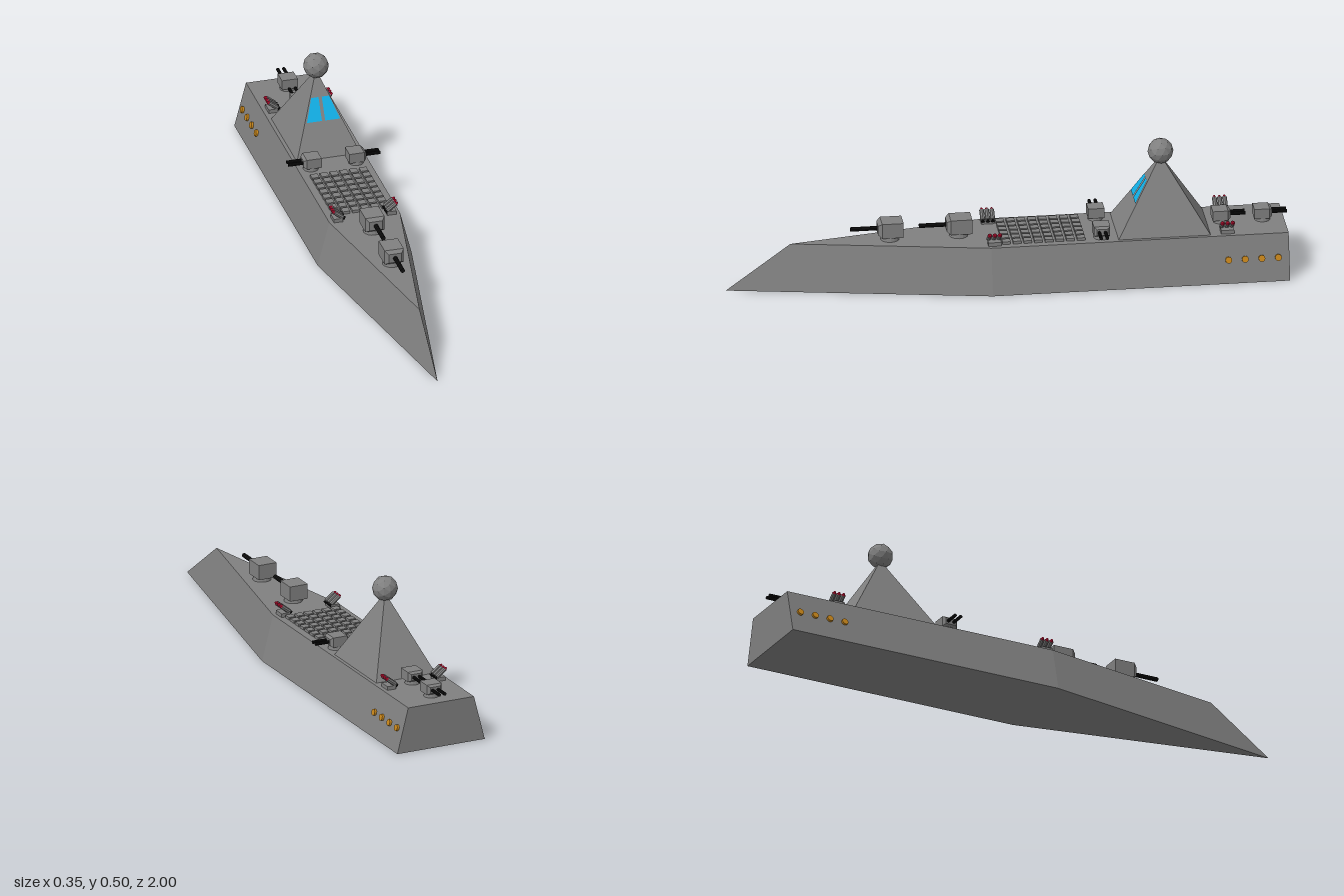
import * as THREE from 'three';

const mat = (name, color) => {
  const m = new THREE.MeshStandardMaterial({ color });
  m.name = name;
  m.flatShading = true;
  return m;
};

const DECK = 0.167;

// Closed solid through rings of [x, z] corners at rising heights (anticlockwise from above)
function loft(rings) {
  const pos = [];
  const pt = (r, i) => [r.pts[i % r.pts.length][0], r.y, r.pts[i % r.pts.length][1]];
  const n = rings[0].pts.length;
  for (let k = 0; k < rings.length - 1; k++) {
    const a = rings[k], b = rings[k + 1];
    for (let i = 0; i < n; i++) {
      pos.push(...pt(a, i), ...pt(a, i + 1), ...pt(b, i + 1));
      pos.push(...pt(a, i), ...pt(b, i + 1), ...pt(b, i));
    }
  }
  const lo = rings[0], hi = rings[rings.length - 1];
  for (let i = 1; i < n - 1; i++) {
    pos.push(...pt(lo, 0), ...pt(lo, i + 1), ...pt(lo, i));
    pos.push(...pt(hi, 0), ...pt(hi, i), ...pt(hi, i + 1));
  }
  const g = new THREE.BufferGeometry();
  g.setAttribute('position', new THREE.Float32BufferAttribute(pos, 3));
  g.computeVertexNormals();
  return g;
}
const rect = (w, d) => [[w, -d], [-w, -d], [-w, d], [w, d]];

export function createModel() {
  const ship = new THREE.Group();
  ship.name = 'warship';
  const grey = mat('hull grey', 0x808080);
  const black = mat('gun black', 0x111111);
  const blue = mat('window blue', 0x12b0e8);
  const red = mat('missile red', 0xdc143c);
  const amber = mat('porthole amber', 0xc8861a);

  const add = (parent, name, geo, material, x = 0, y = 0, z = 0) => {
    const m = new THREE.Mesh(geo, material);
    m.name = name;
    m.position.set(x, y, z);
    parent.add(m);
    return m;
  };

  // Hull: five-sided outline, narrower at the deck, with a raked bow
  const outline = (w, bow) => [[w, -0.99], [-w, -0.99], [-w, 0.07], [0, bow], [w, 0.07]];
  add(ship, 'hull', loft([
    { y: 0, pts: outline(0.173, 1) },
    { y: DECK, pts: outline(0.13, 0.77) },
  ]), grey);

  // Bridge pyramid with radar dome
  const TZ = -0.55;
  add(ship, 'bridgeTower', loft([
    { y: DECK, pts: rect(0.117, 0.164) },
    { y: 0.43, pts: rect(0.002, 0.003) },
  ]), grey, 0, 0, TZ);
  add(ship, 'radarDome', new THREE.IcosahedronGeometry(0.046, 1), grey, 0, 0.452, TZ);

  // Bridge windows lying just off the sloping front face
  const faceZ = y => TZ + 0.164 - (y - DECK) * 0.161 / 0.263 + 0.003;
  for (const s of [1, -1]) {
    const c = [[0.006, 0.28], [0.061, 0.28], [0.033, 0.353], [0.006, 0.353]];
    if (s < 0) c.reverse();
    const p = c.map(([x, y]) => [s * x, y, faceZ(y)]);
    const g = new THREE.BufferGeometry();
    g.setAttribute('position', new THREE.Float32BufferAttribute(
      [p[0], p[1], p[2], p[0], p[2], p[3]].flat(), 3));
    g.computeVertexNormals();
    add(ship, 'bridgeWindow', g, blue);
  }

  // Gun turret: round base, box with a bevelled face, one or more barrels
  function turret(name, x, z, turn, o) {
    const t = new THREE.Group();
    t.name = name;
    t.position.set(x, DECK, z);
    t.rotation.y = turn;
    const { w, h, d, base, reach, r, barrels } = o;
    add(t, 'turretBase', new THREE.CylinderGeometry(w * 0.86, w * 0.95, base, 16), grey, 0, base / 2, 0);
    const body = loft([
      { y: -d, pts: rect(w, h) },
      { y: d * 0.7, pts: rect(w, h) },
      { y: d, pts: rect(w * 0.68, h * 0.62) },
    ]).rotateX(Math.PI / 2);
    add(t, 'turretBody', body, grey, 0, base + h, 0);
    for (const bx of barrels) {
      const g = new THREE.CylinderGeometry(r, r, reach, 10).rotateX(Math.PI / 2);
      add(t, 'barrel', g, black, bx, base + h, d + reach / 2 - 0.002);
    }
    ship.add(t);
  }
  const main = { w: 0.035, h: 0.0275, d: 0.045, base: 0.016, reach: 0.098, r: 0.008, barrels: [0] };
  const small = { w: 0.029, h: 0.0185, d: 0.032, base: 0.013, reach: 0.056, r: 0.006, barrels: [-0.011, 0.011] };
  for (const z of [0.415, 0.17]) turret('foreTurret', 0, z, 0, main);
  for (const z of [-0.765, -0.913]) turret('aftTurret', 0, z, Math.PI, small);
  for (const s of [1, -1]) turret('sideTurret', s * 0.083, -0.328, s * Math.PI / 2, small);

  // Missile launchers: three tilted tubes, red noses outboard, black nozzles inboard
  function launcher(s, z) {
    const l = new THREE.Group();
    l.name = 'missileLauncher';
    l.position.set(s * 0.098, DECK, z);
    l.rotation.y = s > 0 ? 0 : Math.PI;
    add(l, 'launcherBase', new THREE.BoxGeometry(0.034, 0.014, 0.046), grey, 0, 0.007, 0);
    const rack = new THREE.Group();
    rack.name = 'tubeRack';
    rack.position.y = 0.029;
    rack.rotation.z = 0.65;
    for (const dz of [-0.018, 0, 0.018]) {
      const cyl = (a, b, len) => new THREE.CylinderGeometry(a, b, len, 8).rotateZ(-Math.PI / 2);
      add(rack, 'tube', cyl(0.0085, 0.0085, 0.04), grey, 0, 0, dz);
      add(rack, 'missileNose', cyl(0.003, 0.0075, 0.008), red, 0.024, 0, dz);
      add(rack, 'nozzle', cyl(0.003, 0.0075, 0.008), black, -0.024, 0, dz);
    }
    l.add(rack);
    ship.add(l);
  }
  for (const s of [1, -1]) for (const z of [0.055, -0.775]) launcher(s, z);

  // Launch hatches amidships
  const hatch = new THREE.BoxGeometry(0.027, 0.01, 0.029);
  for (let i = 0; i < 6; i++) {
    for (let j = 0; j < 8; j++) {
      add(ship, 'launchHatch', hatch, grey, (i - 2.5) * 0.036, DECK + 0.005, 0.012 - j * 0.038);
    }
  }

  // Portholes along the sloping stern sides
  const tilt = Math.atan2(0.043, DECK);
  for (const s of [1, -1]) {
    for (let i = 0; i < 4; i++) {
      const p = add(ship, 'porthole', new THREE.CylinderGeometry(0.012, 0.012, 0.014, 12), amber,
        s * 0.153, 0.083, -0.773 - i * 0.059);
      p.rotation.z = -s * (Math.PI / 2 - tilt);
    }
  }
  return ship;
}
